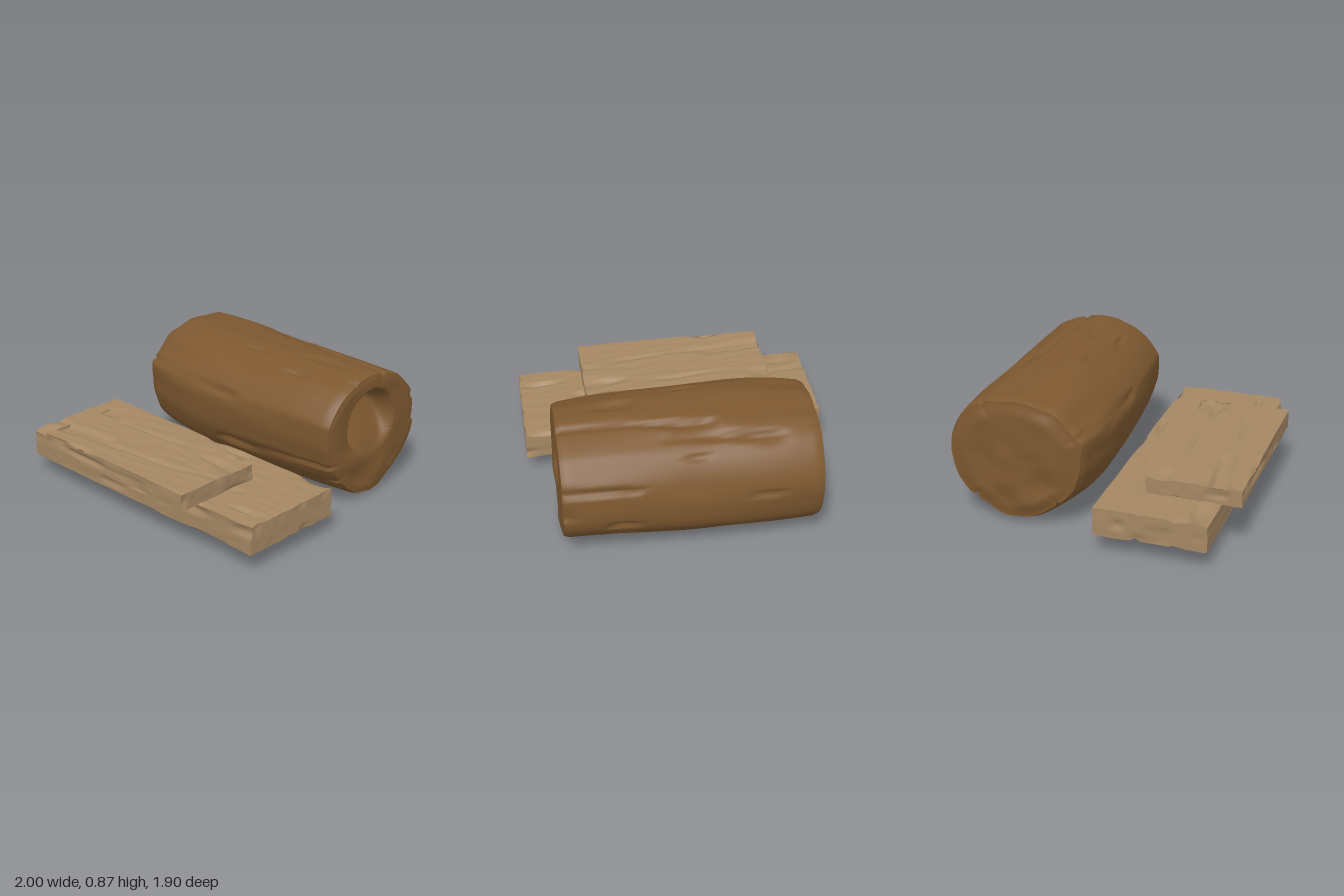
import * as THREE from 'three';

const smooth = THREE.MathUtils.smoothstep;
const lerp = THREE.MathUtils.lerp;

// Repeatable value noise on a 2D lattice; the second axis may wrap
function hash(i, j, seed) {
  const s = Math.sin(i * 127.1 + j * 311.7 + seed * 74.7) * 43758.5453;
  return s - Math.floor(s);
}
function noise(u, v, seed, wrap = 0) {
  const i = Math.floor(u), j = Math.floor(v);
  const fu = smooth(u - i, 0, 1), fv = smooth(v - j, 0, 1);
  const w = k => (wrap ? ((k % wrap) + wrap) % wrap : k);
  const h = (a, b) => hash(a, w(b), seed);
  return lerp(lerp(h(i, j), h(i + 1, j), fu), lerp(h(i, j + 1), h(i + 1, j + 1), fu), fv);
}

// Smooth surface of nu steps by nv steps, closed around the second direction
function closedGrid(nu, nv, point, flip = false) {
  const pos = [], index = [];
  for (let i = 0; i <= nu; i++)
    for (let j = 0; j < nv; j++) pos.push(...point(i / nu, (j / nv) * Math.PI * 2));
  for (let i = 0; i < nu; i++)
    for (let j = 0; j < nv; j++) {
      const a = i * nv + j, b = a + nv, k = (j + 1) % nv;
      const c = (i + 1) * nv + k, d = i * nv + k;
      if (flip) index.push(a, c, b, a, d, c);
      else index.push(a, b, c, a, c, d);
    }
  const g = new THREE.BufferGeometry();
  g.setAttribute('position', new THREE.Float32BufferAttribute(pos, 3));
  g.setIndex(index);
  g.computeVertexNormals();
  return g;
}

// Log cross-section: radius every 22.5 degrees, from the front (+z) upwards
const CY = 0.43, CZ = -0.46, X0 = -0.775, X1 = 0.83;
const RADII = [0.49, 0.515, 0.485, 0.445, 0.425, 0.44, 0.475, 0.485,
  0.49, 0.48, 0.445, 0.435, 0.43, 0.425, 0.425, 0.455];

function logRadius(x, a) {
  const t = (a / (Math.PI * 2)) * 16, i = Math.floor(t) % 16;
  let r = lerp(RADII[i], RADII[(i + 1) % 16], t - Math.floor(t));
  // the front side swells left of the middle and tapers to both ends
  const k = (x + 0.25) / (x > -0.25 ? 1.08 : 0.53);
  r -= k * k * (0.015 + 0.065 * Math.max(0, Math.cos(a)));
  // bark: broad flats and narrow splits running along the log
  const v = a / (Math.PI * 2);
  r += 0.028 * (noise(x * 1.6, v * 22 + x * 0.5, 3, 22) - 0.5);
  r -= 0.035 * smooth(noise(x * 2.2, v * 48 + x * 0.8, 8, 48), 0.78, 1);
  return r;
}
const onRing = (x, r, a) => [x, CY + r * Math.sin(a), CZ + r * Math.cos(a)];

// End faces: worn surface, with an arched hollow in the right one
function endX(y, z, s, right) {
  const worn = 0.022 * (noise(y * 7, z * 7, 5) - 0.5) * smooth(1 - s, 0, 0.3);
  if (!right) {
    const a = Math.atan2(y - CY, z - CZ);
    return X0 - 0.018 * smooth(1 - s, 0, 0.25) + worn + 0.008 * Math.sin(a * 3 + s * 9) * s * (1 - s);
  }
  const d = Math.hypot((z + 0.47) / 0.23, (y - 0.5) / 0.25);
  const hollow = 0.17 * (1 - smooth(d, 0.72, 1)) * smooth(y, 0.24, 0.7);
  return X1 + 0.008 * smooth(1 - s, 0, 0.1) + worn - hollow;
}

function makeLog(material) {
  const log = new THREE.Group();
  log.name = 'log';
  const rim = 0.012;
  const bark = closedGrid(48, 144, (u, a) => {
    const x = lerp(X0, X1, u);
    return onRing(x, logRadius(x, a) - (u === 0 || u === 1 ? rim : 0), a);
  });
  const cap = right => closedGrid(36, 144, (s, a) => {
    const x = right ? X1 : X0;
    const p = onRing(x, s * (logRadius(x, a) - rim), a);
    if (s < 1) p[0] = endX(p[1], p[2], s, right);
    return p;
  }, right);
  const parts = { bark, rightEnd: cap(true), leftEnd: cap(false) };
  for (const [name, geometry] of Object.entries(parts)) {
    const mesh = new THREE.Mesh(geometry, material);
    mesh.name = name;
    log.add(mesh);
  }
  return log;
}

// Rough-sawn plank: a box whose faces are cut by grooves along the grain
function makePlank(name, min, max, seed, material) {
  const lo = new THREE.Vector3(...min), hi = new THREE.Vector3(...max);
  const size = hi.clone().sub(lo), mid = hi.clone().add(lo).multiplyScalar(0.5);
  const g = new THREE.BoxGeometry(size.x, size.y, size.z, 70, 10, 44);
  const p = g.attributes.position;
  const groove = (u, v, s) =>
    0.028 * smooth(noise(u, v, s), 0.62, 1) + 0.007 * noise(u * 2, v * 2, s + 9);
  for (let i = 0; i < p.count; i++) {
    const x = p.getX(i), y = p.getY(i), z = p.getZ(i);
    const fx = (2 * x) / size.x, fy = (2 * y) / size.y, fz = (2 * z) / size.z;
    // each push acts only next to its own face
    const near = f => smooth(Math.abs(f), 0.97, 1) * Math.sign(f);
    const dy = groove(x * 3.5 + 20, z * 17 + x * 1.5 + 20, seed + Math.sign(fy));
    const dz = groove(x * 4 + 20, y * 22 + 20, seed + 4 + Math.sign(fz)) * 0.7;
    const dx = groove(y * 12 + 20, z * 10 + 20, seed + 8 + Math.sign(fx)) * 0.5;
    p.setXYZ(i, x - near(fx) * dx, y - near(fy) * dy, z - near(fz) * dz);
  }
  g.computeVertexNormals();
  const mesh = new THREE.Mesh(g, material);
  mesh.name = name;
  mesh.position.copy(mid);
  return mesh;
}

export function createModel() {
  const model = new THREE.Group();
  model.name = 'logAndPlanks';
  const barkWood = new THREE.MeshStandardMaterial({ color: 0x7d5830 });
  const sawnWood = new THREE.MeshStandardMaterial({ color: 0xa58763 });
  model.add(
    makeLog(barkWood),
    makePlank('lowerPlank', [-1, 0.115, 0.09], [1, 0.305, 0.815], 11, sawnWood),
    makePlank('upperPlank', [-0.71, 0.295, 0.335], [0.565, 0.415, 0.95], 31, sawnWood),
  );
  return model;
}
